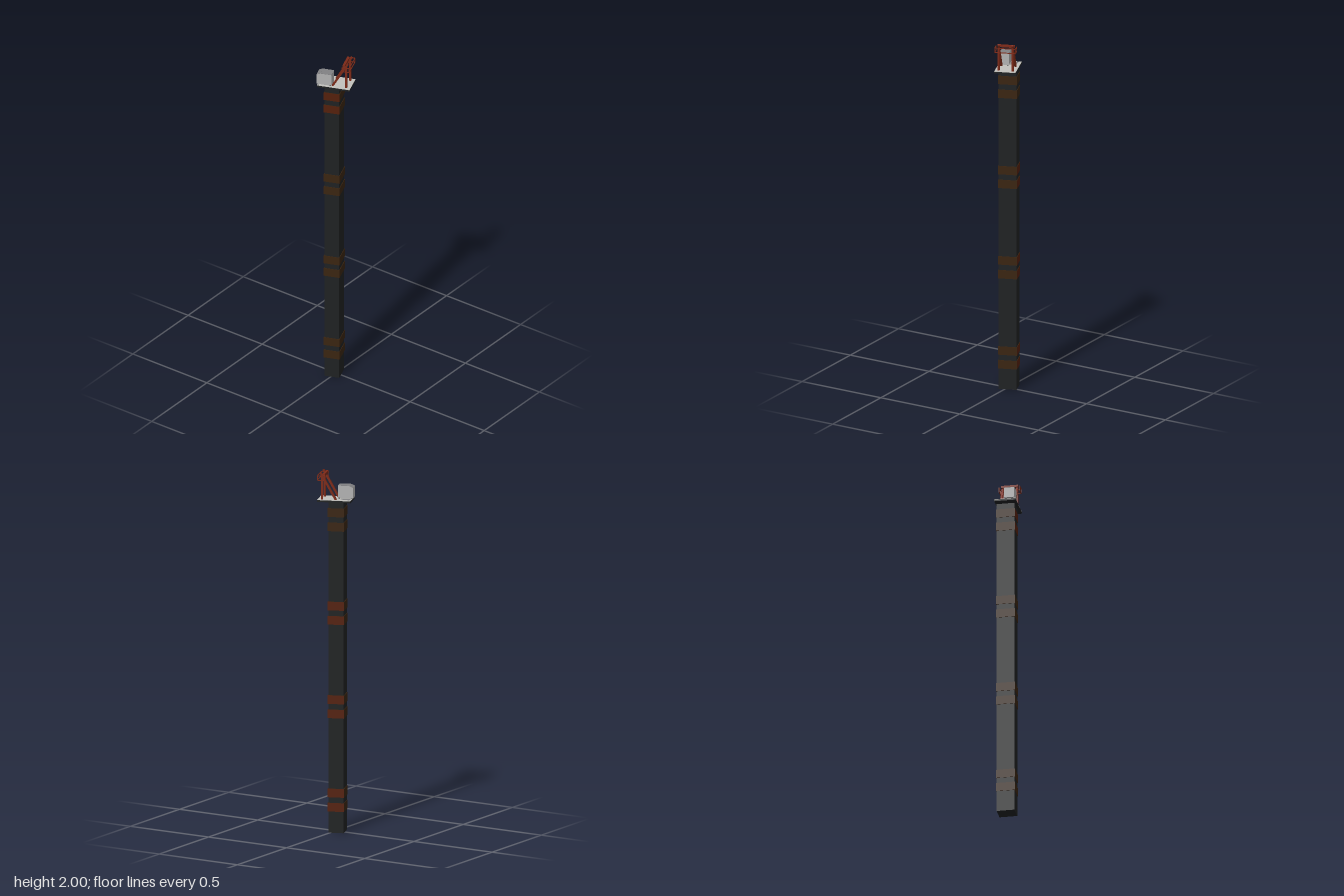
import * as THREE from 'three';

const mat = (name, color) => {
  const m = new THREE.MeshStandardMaterial({ color });
  m.name = name;
  return m;
};

const polygon = (points) => new THREE.Shape(points.map(([x, y]) => new THREE.Vector2(x, y)));

export function createModel() {
  const steel = mat('dark steel', 0x1f2122);
  const brown = mat('brown band', 0x3a2410);
  const rust = mat('rusty band', 0x54200b);
  const red = mat('red frame', 0x7c2917);
  const deckGrey = mat('deck grey', 0xc2c1bc);
  const boxGrey = mat('cabinet grey', 0xb2b2b2);
  const topGrey = mat('cabinet top grey', 0x828284);

  const root = new THREE.Group();
  root.name = 'tower';
  const model = new THREE.Group();
  model.name = 'turnedTower';
  model.rotation.y = 0.359;
  root.add(model);

  const add = (name, geometry, material, x = 0, y = 0, z = 0) => {
    const mesh = new THREE.Mesh(geometry, material);
    mesh.name = name;
    mesh.position.set(x, y, z);
    model.add(mesh);
    return mesh;
  };
  const box = (name, w, h, d, x, y, z, material) =>
    add(name, new THREE.BoxGeometry(w, h, d), material, x, y, z);
  // Square bar between two points
  const bar = (name, a, b, w, material) => {
    const from = new THREE.Vector3(...a), to = new THREE.Vector3(...b);
    const mesh = box(name, from.distanceTo(to), w, w, 0, 0, 0, material);
    mesh.position.copy(from).lerp(to, 0.5);
    mesh.quaternion.setFromUnitVectors(new THREE.Vector3(1, 0, 0), to.sub(from).normalize());
  };

  // Column with pairs of raised bands, each pair rusty on one face
  const cx = -0.0115, cz = -0.0045;
  box('column', 0.083, 1.836, 0.098, cx, 0.918, cz, steel);
  [0.142, 0.66, 1.179, 1.697].forEach((y, i) => {
    // Face order: +x, -x, +y, -y, +z, -z
    const faces = i === 3
      ? [brown, brown, brown, brown, rust, brown]
      : [brown, brown, brown, brown, brown, rust];
    for (const dy of [0, 0.079]) {
      box('band', 0.089, 0.048, 0.104, cx, y + dy, cz, faces);
    }
  });

  // Platform with a worn patch beside the cabinet
  box('platform', 0.184, 0.01, 0.117, 0, 1.838, -0.001, steel);
  box('platformDeck', 0.184, 0.002, 0.117, 0, 1.844, -0.001, deckGrey);
  const patch = polygon([[-0.087, 0.004], [-0.03, 0.004], [-0.03, 0.028], [-0.046, 0.039], [-0.085, 0.047]]);
  add('deckPatch', new THREE.ShapeGeometry(patch), topGrey, 0, 1.8465, 0).rotation.x = -Math.PI / 2;

  // Cabinet with one sloping end on its lid
  const profile = polygon([[-0.042, 0], [0.042, 0], [0.042, 0.067], [-0.022, 0.067], [-0.042, 0.058]]);
  const cabinet = new THREE.ExtrudeGeometry(profile, { depth: 0.053, bevelEnabled: false });
  add('cabinet', cabinet, boxGrey, -0.054, 1.849, -0.004);
  box('cabinetLid', 0.064, 0.002, 0.053, -0.044, 1.9165, 0.0225, topGrey);
  const slope = box('cabinetLidSlope', 0.022, 0.002, 0.053, -0.086, 1.912, 0.0225, topGrey);
  slope.rotation.z = Math.atan2(0.009, 0.02);
  for (const x of [-0.088, -0.02]) {
    for (const z of [0.003, 0.042]) box('cabinetFoot', 0.008, 0.005, 0.008, x, 1.847, z, steel);
  }

  // Posts, slanted braces and the top crossbar
  for (const z of [-0.041, 0.037]) {
    box('post', 0.011, 0.13, 0.011, 0.068, 1.91, z, red);
    bar('brace', [-0.009, 1.845, z], [0.076, 1.993, z], 0.011, red);
  }
  box('crossbar', 0.014, 0.012, 0.094, 0.056, 1.982, -0.002, red);

  // U-shaped guard rail of two thin bars
  for (const y of [1.953, 1.978]) {
    box('railEnd', 0.004, 0.004, 0.116, 0.089, y, -0.002, red);
    for (const z of [-0.059, 0.055]) box('railSide', 0.04, 0.004, 0.004, 0.069, y, z, red);
  }
  for (const x of [0.05, 0.089]) {
    for (const z of [-0.059, 0.055]) box('railUpright', 0.004, 0.029, 0.004, x, 1.9655, z, red);
  }

  return root;
}
